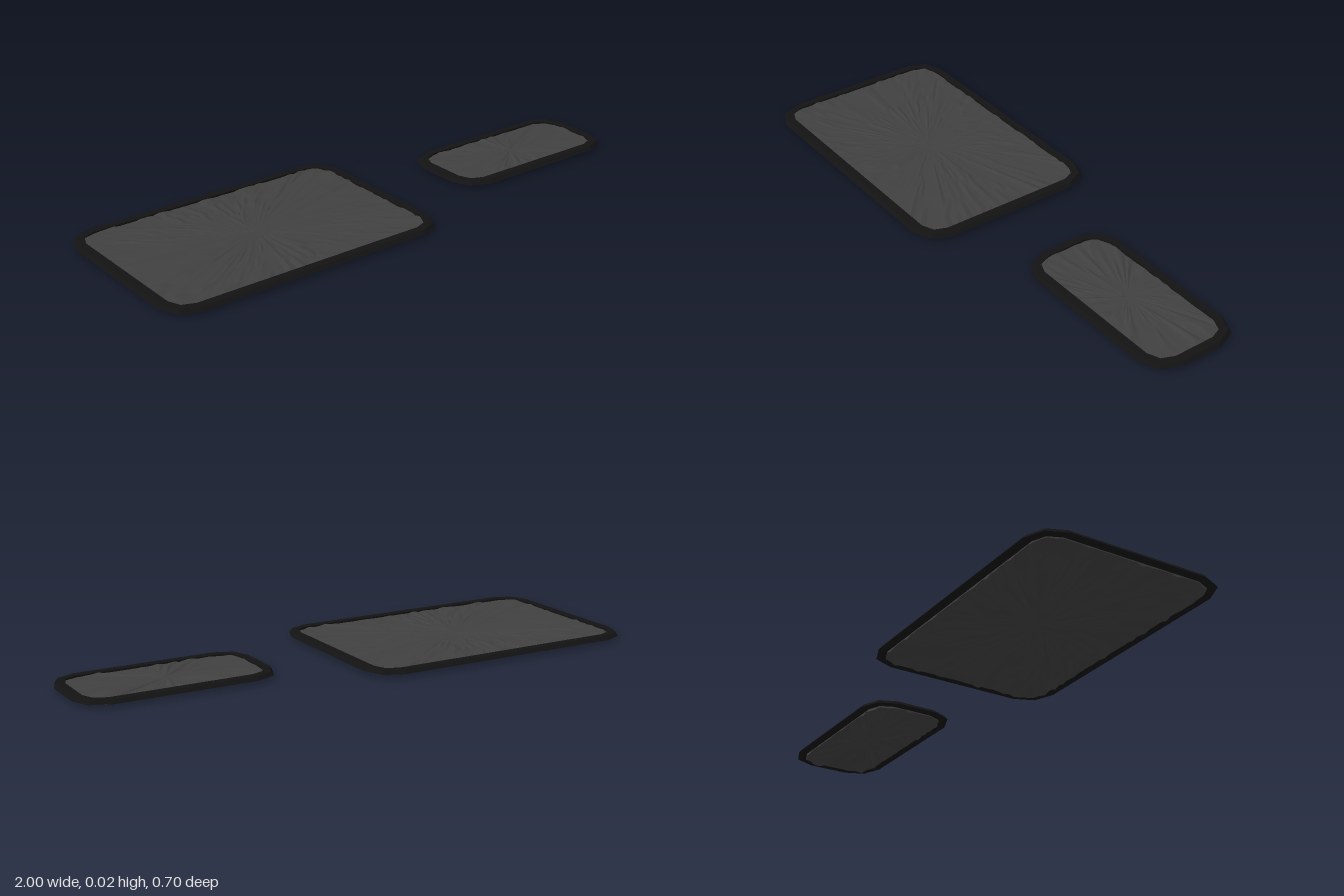
import * as THREE from 'three';

const rimMaterial = new THREE.MeshStandardMaterial({ color: 0x131313, flatShading: true });
const pileMaterial = new THREE.MeshStandardMaterial({ color: 0x404040, flatShading: true });

function seededRandom(seed) {
  return () => {
    seed = (seed * 1664525 + 1013904223) % 4294967296;
    return seed / 4294967296;
  };
}

// Rounded rectangle, running from +x towards +z, with two-step corners
function outline(halfX, halfZ, radius) {
  const points = [];
  const corners = [[1, 1], [-1, 1], [-1, -1], [1, -1]];
  corners.forEach(([sx, sz], c) => {
    for (let k = 0; k <= 2; k++) {
      const a = (c + k / 2) * Math.PI / 2;
      points.push(new THREE.Vector2(
        sx * (halfX - radius) + Math.cos(a) * radius,
        sz * (halfZ - radius) + Math.sin(a) * radius));
    }
  });
  return points;
}

// Splits the sides of an outline into steps of roughly equal length
function subdivide(points, step) {
  const result = [];
  points.forEach((p, i) => {
    const q = points[(i + 1) % points.length];
    const n = Math.max(1, Math.round(p.distanceTo(q) / step));
    for (let k = 0; k < n; k++) result.push(p.clone().lerp(q, k / n));
  });
  return result;
}

// Skins a list of closed loops, each an array of [x, y, z]
function loft(loops) {
  const n = loops[0].length;
  const index = [];
  for (let i = 0; i < loops.length - 1; i++) {
    for (let j = 0; j < n; j++) {
      const a = i * n + j, b = i * n + (j + 1) % n;
      index.push(a, a + n, b, b, a + n, b + n);
    }
  }
  const geometry = new THREE.BufferGeometry();
  geometry.setAttribute('position', new THREE.Float32BufferAttribute(loops.flat(2), 3));
  geometry.setIndex(index);
  geometry.computeVertexNormals();
  return geometry;
}

// Bevelled border: wide at the bottom, narrower on top
function rimGeometry(halfX, halfZ, radius) {
  const section = [[0, 0.013], [0.01, 0.026], [0.038, 0.026], [0.038, 0.013], [0, 0.013]];
  return loft(section.map(([inset, y]) =>
    outline(halfX - inset, halfZ - inset, radius - inset).map(p => [p.x, y, p.y])));
}

// Rough sheet: rings shrinking to the middle, with raised radial streaks
function pileGeometry(halfX, halfZ, radius, seed) {
  const random = seededRandom(seed);
  const edge = subdivide(outline(halfX, halfZ, radius), 0.022);
  const rings = Math.round(halfZ / 0.025);

  const side = (baseY, direction, height) => {
    const streak = edge.map(() => 0);
    const loops = [];
    for (let r = 0; r <= rings; r++) {
      const s = r / rings;
      loops.push(edge.map((p, j) => {
        if (random() < 0.45) streak[j] = Math.pow(random(), 3);
        const bump = streak[j] * height * Math.min(1, s * 1.5);
        return [p.x * s, baseY + direction * bump, p.y * s];
      }));
    }
    return loops;
  };

  const bottom = side(0.01, -1, 0.008);
  const top = side(0.019, 1, 0.006).reverse();
  return loft([...bottom, ...top]);
}

function makeMat(name, centreX, halfX, halfZ, seed) {
  const mat = new THREE.Group();
  mat.name = name;
  const radius = 0.1;
  const rim = new THREE.Mesh(rimGeometry(halfX, halfZ, radius), rimMaterial);
  rim.name = 'border';
  const inset = 0.033;
  const pile = new THREE.Mesh(
    pileGeometry(halfX - inset, halfZ - inset, radius - inset, seed), pileMaterial);
  pile.name = 'roughPile';
  mat.add(rim, pile);
  mat.position.x = centreX;
  return mat;
}

export function createModel() {
  const model = new THREE.Group();
  model.name = 'floorMats';
  model.add(
    makeMat('largeMat', -0.475, 0.525, 0.35, 11),
    makeMat('smallMat', 0.65, 0.35, 0.175, 47));
  return model;
}
